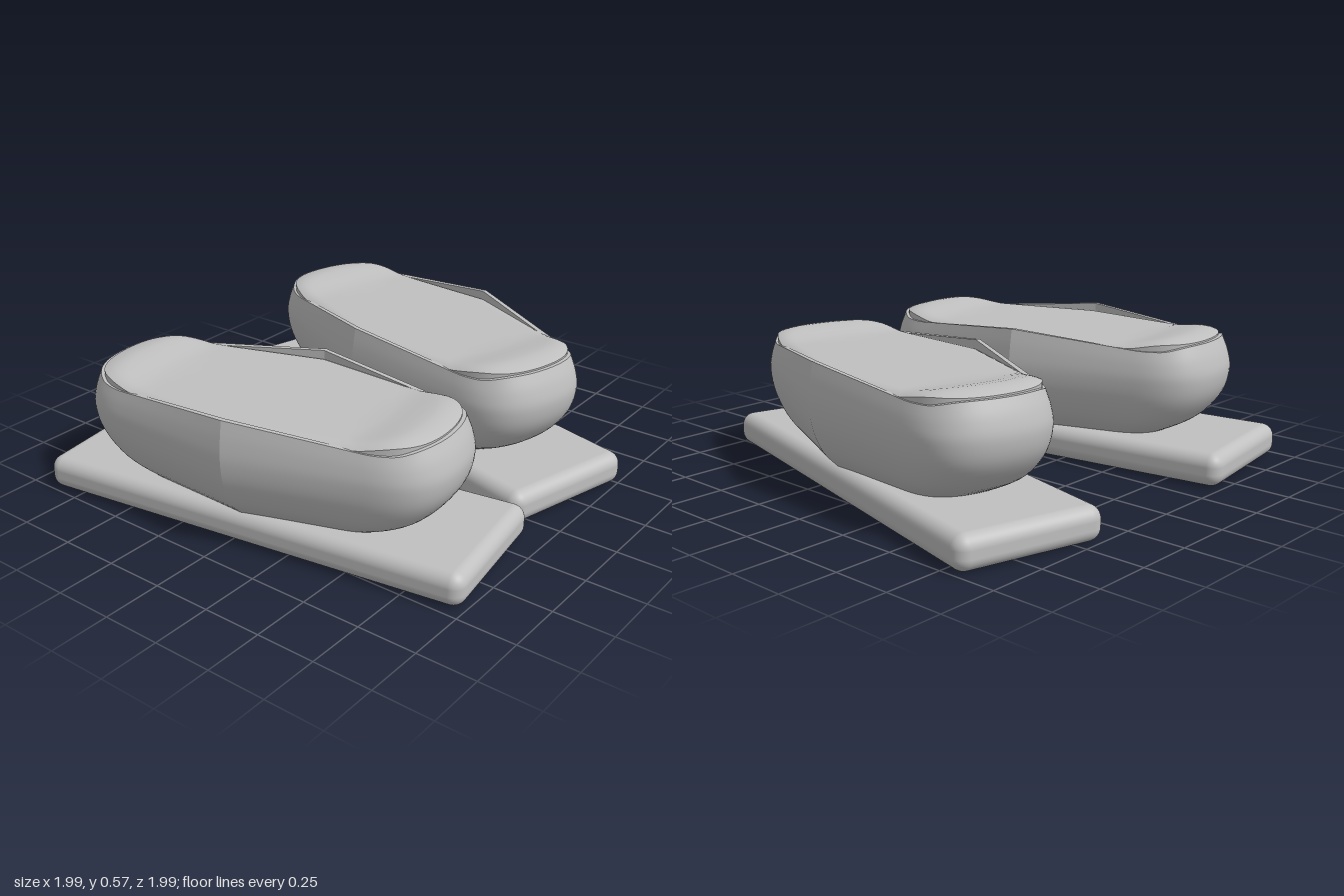
import * as THREE from 'three';
import { toCreasedNormals } from 'three/addons/utils/BufferGeometryUtils.js';
import { RoundedBoxGeometry } from 'three/addons/geometries/RoundedBoxGeometry.js';

const { smoothstep } = THREE.MathUtils;

// Plan outline: straight sides meeting at a kink, with rounded ends
function makeOutline() {
  const quarter = [];
  for (let i = 0; i < 6; i++) quarter.push([0.405 - 0.1 * i / 6, 0.56 * i / 6]);
  const bend = new THREE.CubicBezierCurve(
    new THREE.Vector2(0.305, 0.56), new THREE.Vector2(0.28, 0.7),
    new THREE.Vector2(0.23, 0.815), new THREE.Vector2(0, 0.815));
  bend.getPoints(16).forEach(p => quarter.push([p.x, p.y]));
  const half = [...quarter, ...quarter.slice(0, -1).reverse().map(([u, v]) => [-u, v])];
  return [...half, ...half.slice(1, -1).reverse().map(([u, v]) => [u, -v])];
}

// Skin a stack of scaled outlines; heightAt(u, v, ring) gives y
function skin(outline, rings, heightAt) {
  const n = outline.length, pos = [], idx = [];
  rings.forEach(r => outline.forEach(([u, v]) => {
    pos.push(u * r.s, heightAt(u, v, r), v * r.s);
  }));
  for (let i = 0; i < rings.length - 1; i++) {
    for (let j = 0; j < n; j++) {
      const a = i * n + j, b = i * n + (j + 1) % n;
      idx.push(a, a + n, b, b, a + n, b + n);
    }
  }
  const g = new THREE.BufferGeometry();
  g.setAttribute('position', new THREE.Float32BufferAttribute(pos, 3));
  g.setIndex(idx);
  return toCreasedNormals(g, 0.28);
}

// Rim is highest at the kink, dips at the corners and lifts at the ends
function rimHeight(v) {
  const d = Math.abs(v);
  return d < 0.6 ? 0.575 - 0.08 * d : 0.527 + 0.023 * smoothstep(d, 0.68, 0.81);
}

function makeWrap(outline) {
  const curve = new THREE.SplineCurve([
    [0.70, 0.13], [0.86, 0.2], [0.965, 0.3], [1, 0.4], [0.985, 0.49], [0.95, 0.57],
  ].map(p => new THREE.Vector2(...p)));
  const rings = [{ s: 0.01, y: 0.13 }];
  curve.getPoints(24).forEach(p => rings.push({ s: p.x, y: p.y }));
  rings.push({ s: 0.9, y: 0.57 }, { s: 0.9, y: 0.47 });
  return skin(outline, rings, (u, v, r) =>
    r.y <= 0.4 ? r.y : 0.4 + (r.y - 0.4) * (rimHeight(v) - 0.4) / 0.17);
}

function makeFilling(outline) {
  const rings = [{ s: 0.93, y: 0.46 }];
  for (const s of [0.93, 0.915, 0.9, 0.88, 0.86, 0.83, 0.8, 0.75, 0.7, 0.65, 0.6, 0.5, 0.35, 0.2, 0.001]) {
    rings.push({ s });
  }
  return skin(outline, rings, (u, v, r) => {
    if (r.y) return r.y;
    const lift = 0.03 * smoothstep(Math.abs(v * r.s), 0.45, 0.68);
    const droop = 0.018 * Math.max(0, (r.s - 0.8) / 0.13) ** 2;
    return 0.545 + lift - droop;
  });
}

export function createModel() {
  const model = new THREE.Group();
  model.name = 'pairOfServings';
  const grey = new THREE.MeshStandardMaterial({ color: 0xc0c0c0 });
  grey.name = 'light grey';

  const outline = makeOutline();
  const slab = new RoundedBoxGeometry(0.635, 0.142, 1.92, 5, 0.055);
  slab.translate(0, 0.071, 0);
  const parts = { slab, wrap: makeWrap(outline), filling: makeFilling(outline) };

  // Two servings, turned away from each other
  for (const [name, x, turn] of [['rightServing', -0.545, 0.147], ['leftServing', 0.457, -0.258]]) {
    const serving = new THREE.Group();
    serving.name = name;
    for (const [part, geometry] of Object.entries(parts)) {
      const mesh = new THREE.Mesh(geometry, grey);
      mesh.name = part;
      serving.add(mesh);
    }
    serving.position.x = x;
    serving.rotation.y = turn;
    model.add(serving);
  }
  return model;
}
